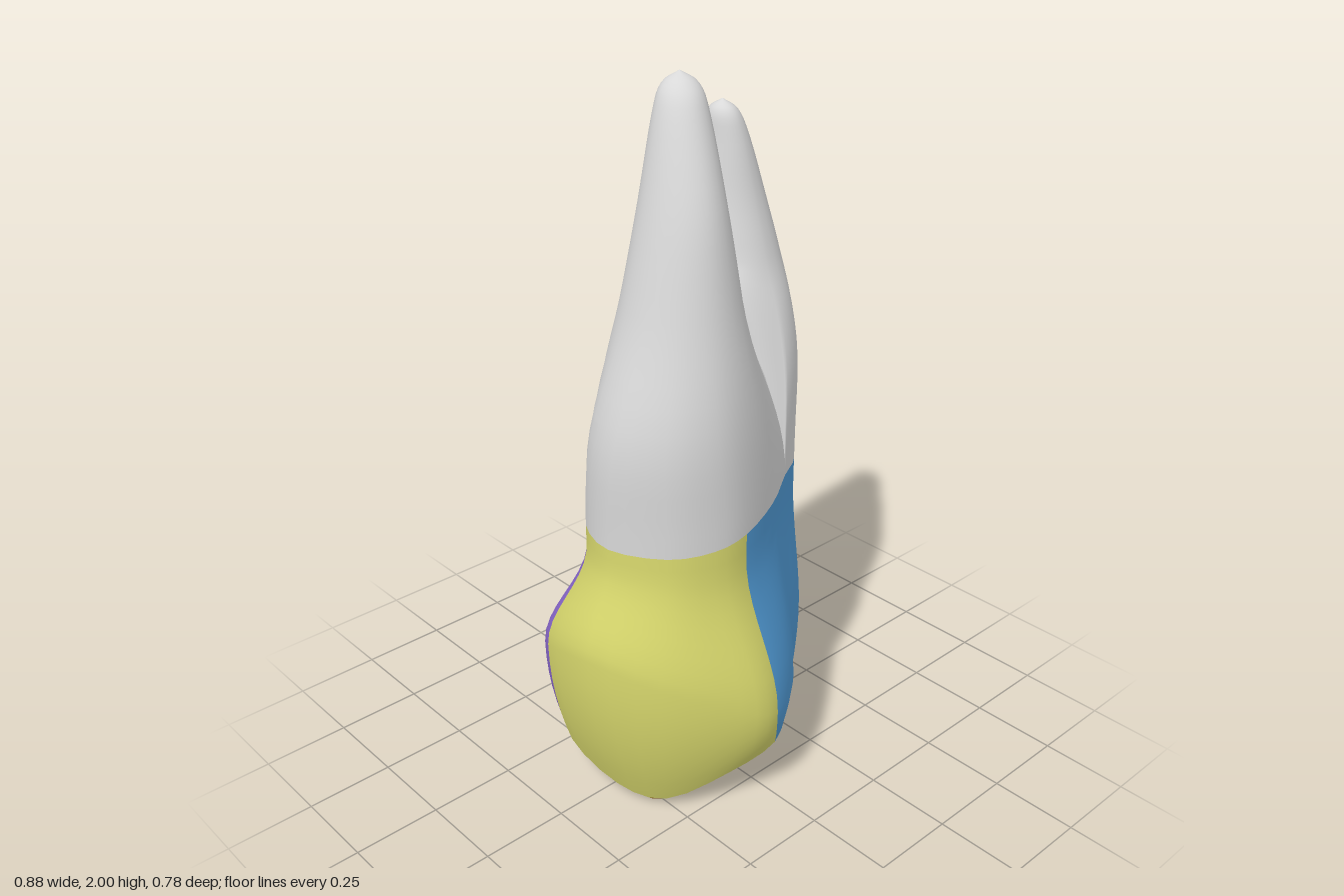
import * as THREE from 'three';

const V = (x, y, z) => new THREE.Vector3(x, y, z);
const mat = (name, color) => {
  const m = new THREE.MeshStandardMaterial({ color });
  m.name = name;
  return m;
};
const SUB = 3, COLS = 16 * SUB;

// closed smooth outline through x, y, z control points, starting at the back left corner
function outline(points) {
  const curve = new THREE.CatmullRomCurve3(points.map(p => V(...p)), true, 'catmullrom', 0.5);
  return i => curve.getPoint((((i % COLS) + COLS) % COLS) / COLS);
}

// skin over closed rings stacked upwards; faces run column by column
function loft(rings) {
  const n = rings[0].length, pos = [], index = [];
  rings.forEach(r => r.forEach(p => pos.push(p.x, p.y, p.z)));
  for (let i = 0; i < n; i++) {
    for (let j = 0; j < rings.length - 1; j++) {
      const a = j * n + i, b = j * n + (i + 1) % n, c = a + n, d = b + n;
      index.push(a, c, b, b, c, d);
    }
  }
  const g = new THREE.BufferGeometry();
  g.setAttribute('position', new THREE.Float32BufferAttribute(pos, 3));
  g.setIndex(index);
  g.computeVertexNormals();
  return g;
}

const rim = outline([
  [-0.345, 0.095, -0.14], [-0.275, 0.13, -0.225], [-0.135, 0.165, -0.285], [0.01, 0.18, -0.315],
  [0.15, 0.205, -0.335], [0.26, 0.2, -0.305], [0.34, 0.165, -0.22], [0.375, 0.135, -0.11],
  [0.36, 0.145, 0.03], [0.3, 0.18, 0.12], [0.2, 0.24, 0.17], [0.1, 0.2, 0.27],
  [0, 0.18, 0.34], [-0.14, 0.125, 0.3], [-0.265, 0.03, 0.18], [-0.335, 0.045, 0.05]]);
const belly = outline([
  [-0.405, 0.45, -0.15], [-0.31, 0.38, -0.265], [-0.15, 0.38, -0.325], [0.01, 0.41, -0.36],
  [0.18, 0.46, -0.39], [0.29, 0.47, -0.365], [0.39, 0.46, -0.29], [0.437, 0.43, -0.16],
  [0.405, 0.4, 0], [0.33, 0.37, 0.11], [0.22, 0.35, 0.18], [0.11, 0.33, 0.3],
  [-0.04, 0.33, 0.385], [-0.16, 0.38, 0.365], [-0.34, 0.47, 0.25], [-0.44, 0.52, 0.07]]);
const neck = outline([
  [-0.335, 0.845, -0.05], [-0.25, 0.85, -0.11], [-0.12, 0.855, -0.18], [0.01, 0.85, -0.26],
  [0.165, 0.835, -0.35], [0.27, 0.83, -0.347], [0.36, 0.83, -0.29], [0.415, 0.83, -0.18],
  [0.395, 0.835, -0.05], [0.34, 0.85, 0.06], [0.23, 0.86, 0.13], [0.09, 0.86, 0.22],
  [-0.07, 0.855, 0.283], [-0.18, 0.845, 0.28], [-0.29, 0.84, 0.22], [-0.368, 0.84, 0.08]]);

const ring = f => Array.from({ length: COLS }, (_, i) => f(i));

// crown wall: bulges out from the rim, then draws in to the neck
function crownGeometry() {
  const rings = [];
  for (let k = 0; k <= 6; k++) {
    const t = k / 6, out = 1 - (1 - t) ** 2;
    rings.push(ring(i => {
      const a = rim(i), b = belly(i), p = a.clone().lerp(b, out);
      p.y = a.y + (b.y - a.y) * t;
      return p;
    }));
  }
  for (let k = 1; k <= 10; k++) {
    const t = k / 10, s = THREE.MathUtils.smoothstep(t, 0, 0.85);
    rings.push(ring(i => {
      const a = belly(i), b = neck(i), p = a.clone().lerp(b, s);
      p.y = a.y + (b.y - a.y) * t;
      return p;
    }));
  }
  const g = loft(rings), quarter = g.index.count / 4;
  for (let q = 0; q < 4; q++) g.addGroup(q * quarter, quarter, q);
  return g;
}

// chewing surface: two cusps parted by a groove, with a low ridge inside the rim at both ends
function chewingGeometry() {
  const bump = (p, x, z, h, w) => h * Math.exp(-((p.x - x) ** 2 + (p.z - z) ** 2) / (w * w));
  const rings = [];
  for (let k = 0; k <= 16; k++) {
    const f = k / 16;
    rings.push(ring(i => {
      const r = rim(i), p = V(0.03, 0, 0).lerp(V(r.x, 0, r.z), f);
      const cusps = bump(p, -0.23, 0.08, 0.2, 0.15) + bump(p, 0.27, -0.08, 0.08, 0.12);
      const ridge = 0.045 * Math.min(1, (r.x / 0.3) ** 2) * Math.exp(-(((f - 0.85) / 0.1) ** 2));
      const y = 0.25 + (r.y - 0.25) * f * f - cusps * (1 - f ** 4) - ridge * (1 - f ** 12);
      p.y = Math.max(0, y);
      return p;
    }));
  }
  return loft(rings);
}

// arch over the fork, shared by both roots, from the back waist to the front waist
const BACK = 3, FRONT = 10, ARCH = 20;
function archPoint(u) {
  const p = neck(BACK * SUB).lerp(neck(FRONT * SUB), (1 - Math.cos(Math.PI * u)) / 2);
  p.y += 0.48 * Math.sin(Math.PI * u) ** 1.4;
  return p;
}

// root: one share of the neck outline, closed by the arch, turning into tapering ovals
// ovals are [y, x min, x max, z min, z max]
function rootGeometry(from, to, ovals) {
  const outer = [];
  for (let i = from * SUB; i <= to * SUB; i++) outer.push(neck(i));
  const mid = new THREE.Box3().setFromPoints(outer).getCenter(V(0, 0, 0));
  const angleOf = p => Math.atan2(p.z - mid.z, p.x - mid.x);
  const base = outer.map(p => ({ p, ang: angleOf(p), w: 0 }));

  // arch points spread evenly over the inner side of the oval
  const start = angleOf(outer[outer.length - 1]);
  const sweep = (angleOf(outer[0]) - start + 4 * Math.PI) % (2 * Math.PI);
  for (let k = 1; k < ARCH; k++) {
    const u = k / ARCH;
    base.push({
      p: archPoint(from === BACK ? 1 - u : u), ang: start + sweep * u, w: Math.sin(Math.PI * u),
    });
  }

  const spline = pts => new THREE.CatmullRomCurve3(pts, false, 'catmullrom', 0.5);
  const low = spline(ovals.map(o => V(o[1], o[0], o[3])));
  const high = spline(ovals.map(o => V(o[2], o[0], o[4])));
  const steps = (ovals.length - 1) * 4, rings = [];
  for (let k = 0; k <= steps; k++) {
    const l = low.getPoint(k / steps), h = high.getPoint(k / steps);
    const t = Math.min(1, (l.y - 0.85) / 0.6), turn = t * Math.PI / 2;
    rings.push(base.map(({ p, ang, w }) => {
      const oval = V((l.x + h.x) / 2 + (h.x - l.x) / 2 * Math.cos(ang), l.y,
        (l.z + h.z) / 2 + (h.z - l.z) / 2 * Math.sin(ang));
      // the arch sweeps sideways first and then up, rounding the fork
      const across = THREE.MathUtils.lerp(t * t * (3 - 2 * t), Math.sin(turn), w);
      const rise = THREE.MathUtils.lerp(t, 1 - Math.cos(turn), w);
      const q = p.clone().lerp(oval, across);
      q.y = t < 1 ? p.y + (1.45 - p.y) * rise : l.y;
      return q;
    }));
  }
  return loft(rings);
}

export function createModel() {
  const grey = mat('rootGrey', 0xd8d8d8);
  const purple = mat('backPurple', 0x8a68ce);
  const green = mat('sideGreen', 0x92dc7a);
  const blue = mat('frontBlue', 0x519bd6);
  const yellow = mat('sideYellow', 0xd9d96e);
  const amber = mat('chewingAmber', 0xc4902e);

  const model = new THREE.Group();
  model.name = 'tooth';
  const add = (name, geometry, material) => {
    const m = new THREE.Mesh(geometry, material);
    m.name = name;
    model.add(m);
  };

  add('crown', crownGeometry(), [purple, green, blue, yellow]);
  add('chewingSurface', chewingGeometry(), amber);
  add('tallRoot', rootGeometry(FRONT, BACK + 16, [
    [0.85, -0.37, 0.07, -0.11, 0.29], [1.07, -0.365, 0.07, -0.11, 0.287],
    [1.3, -0.3, 0.06, -0.1, 0.258], [1.5, -0.25, 0.03, -0.07, 0.228],
    [1.7, -0.2, 0, -0.045, 0.19], [1.9, -0.145, -0.01, -0.03, 0.118],
    [1.97, -0.11, -0.02, -0.02, 0.075], [2, -0.06, -0.06, 0.02, 0.02]]), grey);
  add('shortRoot', rootGeometry(BACK, FRONT, [
    [0.85, 0.12, 0.425, -0.355, 0.08], [1.1, 0.12, 0.445, -0.345, 0.07],
    [1.3, 0.125, 0.425, -0.32, 0.04], [1.45, 0.14, 0.4, -0.29, 0],
    [1.6, 0.17, 0.36, -0.25, -0.04], [1.75, 0.19, 0.31, -0.21, -0.07],
    [1.83, 0.2, 0.275, -0.185, -0.095], [1.86, 0.235, 0.235, -0.14, -0.14]]), grey);

  return model;
}
